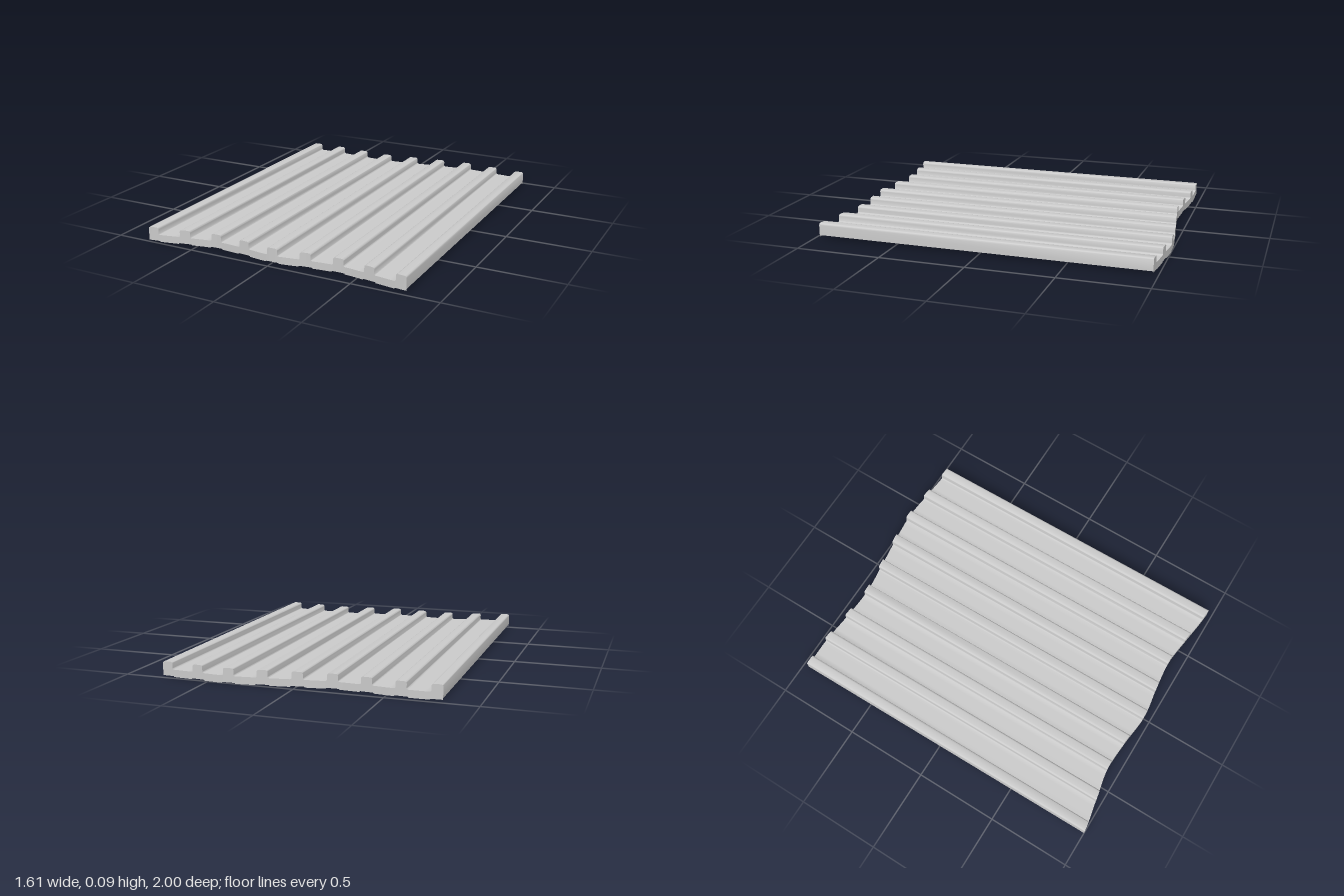
import * as THREE from 'three';
import { toCreasedNormals } from 'three/addons/utils/BufferGeometryUtils.js';

const PITCH = 0.193, RIBS = 9, HALF = 0.031;
const material = new THREE.MeshStandardMaterial({ color: 0xcccccc, side: THREE.DoubleSide });

// Smooth wavy end lines, z as a function of x
const makeWave = (zs) => {
  const xs = [-0.8, -0.6, -0.4, -0.2, 0, 0.2, 0.4, 0.6, 0.8];
  const curve = new THREE.SplineCurve(xs.map((x, i) => new THREE.Vector2(x, zs[i])));
  return (x) => curve.getPoint(THREE.MathUtils.clamp((x + 0.8) / 1.6, 0, 1)).y;
};
const frontWave = makeWave([1.0, 0.965, 0.93, 0.94, 0.96, 0.935, 0.92, 0.945, 0.97]);
const backWave = makeWave([-0.96, -0.96, -0.942, -0.932, -0.955, -0.982, -1.0, -0.985, -0.97]);

// Place a profile point on an end line; the sheet is slightly skewed and tilted
const place = ([x, y], wave) => {
  const z = wave(x);
  return [x * 0.991 + 0.007 * z, y + 0.003 * z, z];
};

// Strip of quads between two rows of points, smooth over the fillets
function strip(name, rowA, rowB) {
  const pos = [];
  for (let i = 0; i < rowA.length - 1; i++) {
    const [a, b, c, d] = [rowA[i], rowA[i + 1], rowB[i + 1], rowB[i]];
    pos.push(...a, ...b, ...c, ...a, ...c, ...d);
  }
  const geometry = new THREE.BufferGeometry();
  geometry.setAttribute('position', new THREE.Float32BufferAttribute(pos, 3));
  const mesh = new THREE.Mesh(toCreasedNormals(geometry, 0.6), material);
  mesh.name = name;
  return mesh;
}

// Half rib: fillet at the foot, wall, rounded shoulder
function halfRib(half, footY, topY, foot, shoulder) {
  const pts = [], steps = 4;
  for (let i = 0; i <= steps; i++) {
    const a = (i / steps) * Math.PI / 2;
    pts.push([-half - foot * (1 - Math.sin(a)), footY + foot * (1 - Math.cos(a))]);
  }
  for (let i = 0; i <= steps; i++) {
    const a = (i / steps) * Math.PI / 2;
    pts.push([-half + shoulder * (1 - Math.cos(a)), topY - shoulder * (1 - Math.sin(a))]);
  }
  return pts;
}
const mirror = (pts) => pts.map(([x, y]) => [-x, y]).reverse();

// Repeat the rib across the width; edge ribs get a straight outer side
function profile(half, edgeY, outer) {
  const pts = [], footY = half[0][1];
  const shoulder = half.slice(half.length / 2);
  const edge = [[-outer, edgeY], ...shoulder];
  for (let i = 0; i < RIBS; i++) {
    const cx = (i - (RIBS - 1) / 2) * PITCH;
    const left = i === 0 ? edge : half;
    const right = mirror(i === RIBS - 1 ? edge : half);
    for (const [x, y] of [...left, ...right]) pts.push([cx + x, y]);
    // extra points so the panel follows the wavy ends
    if (i < RIBS - 1) for (const t of [0.35, 0.5, 0.65]) pts.push([cx + PITCH * t, footY]);
  }
  return pts;
}

export function createModel() {
  const group = new THREE.Group();
  group.name = 'ribbedSheet';
  const top = profile(halfRib(HALF, 0.045, 0.088, 0.009, 0.012), 0.017, HALF);
  const under = profile(halfRib(HALF - 0.005, 0.029, 0.077, 0.006, 0.008), 0.017, HALF);
  const row = (pts, wave) => pts.map((p) => place(p, wave));

  // Upper skin including outer side walls
  group.add(strip('upperSkin', row(top, frontWave), row(top, backWave)));
  // Underside with a channel below each rib
  group.add(strip('underside', row(under, backWave), row(under, frontWave)));

  // End walls drop a little below the panels, nicked beneath the ribs
  const foot = top.map(([x]) => {
    const d = Math.abs(x / PITCH - Math.round(x / PITCH)) * PITCH;
    return [x, d < HALF + 0.006 ? 0.008 : 0.003];
  });
  group.add(strip('frontEnd', row(foot, frontWave), row(top, frontWave)));
  group.add(strip('backEnd', row(top, backWave), row(foot, backWave)));
  return group;
}
